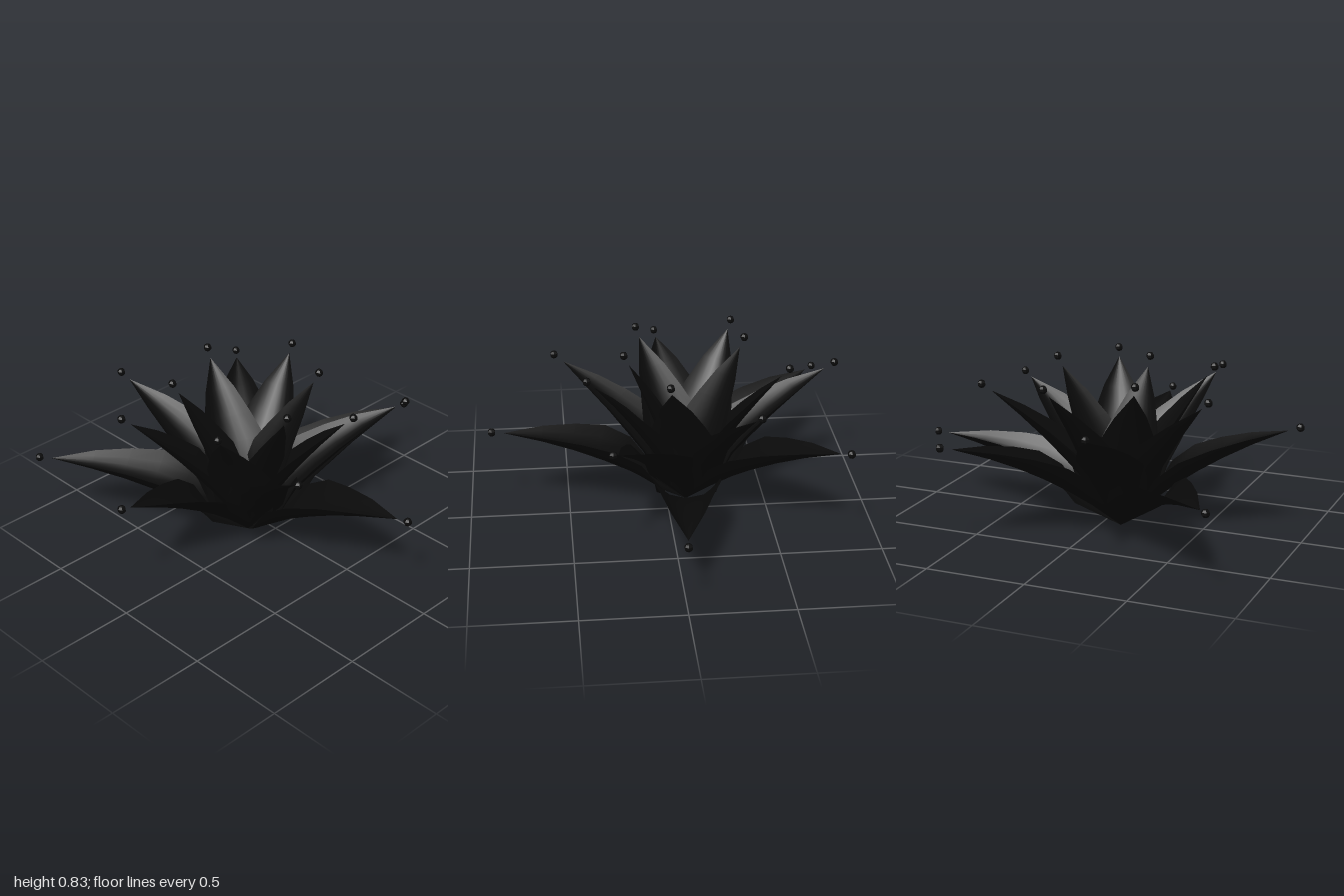
import * as THREE from 'three';

const BASE = new THREE.Vector3(-0.1, 0.005, -0.1);

// Bead above each petal tip, from the outermost petal to the innermost
const BEADS = [
  [0.975, 0.345, 0], [-0.81, 0.41, -0.865], [-0.005, 0.475, 0.875], [0.51, 0.535, -0.82],
  [-0.98, 0.585, -0.01], [0.615, 0.635, 0.31], [-0.25, 0.675, -0.875], [-0.4, 0.71, 0.55],
  [0.51, 0.74, -0.39], [-0.65, 0.765, -0.39], [0.12, 0.785, 0.405], [0.09, 0.8, -0.585],
  [-0.5, 0.805, 0.125], [0.29, 0.81, 0.015], [-0.3, 0.81, -0.415], [-0.13, 0.805, 0.21],
];

// Petal stations: position along the midrib, half width, lift of the edges
const STATIONS = [
  [0, 0, 0], [0.2, 0.15, 0.03], [0.36, 0.165, 0.11], [0.5, 0.165, 0.12],
  [0.65, 0.125, 0.09], [0.81, 0.078, 0.05], [1, 0, 0],
];
const ACROSS = 8;

// Cupped petal that grows along +x and y and arches outward by the bend angle
function petalGeometry(tipR, tipY, bend, cup) {
  const lift = Math.tan(bend) / 2;
  const curve = new THREE.QuadraticBezierCurve(
    new THREE.Vector2(0, 0),
    new THREE.Vector2(tipR / 2 - tipY * lift, tipY / 2 + tipR * lift),
    new THREE.Vector2(tipR, tipY));
  const positions = [], index = [];
  STATIONS.forEach(([t, width, rise], i) => {
    const p = curve.getPoint(t), d = curve.getTangent(t);
    for (let j = 0; j <= ACROSS; j++) {
      const s = (2 * j) / ACROSS - 1;
      const h = rise * cup * s * s;
      positions.push(p.x - d.y * h, p.y + d.x * h, width * s);
      if (i < STATIONS.length - 1 && j < ACROSS) {
        const k = i * (ACROSS + 1) + j, n = k + ACROSS + 1;
        index.push(k, k + 1, n, k + 1, n + 1, n);
      }
    }
  });
  const g = new THREE.BufferGeometry();
  g.setAttribute('position', new THREE.Float32BufferAttribute(positions, 3));
  g.setIndex(index);
  g.computeVertexNormals();
  return g;
}

export function createModel() {
  const model = new THREE.Group();
  model.name = 'flower';
  const petalMat = new THREE.MeshStandardMaterial({ color: 0x0a0a0a, side: THREE.DoubleSide });
  const beadMat = new THREE.MeshStandardMaterial({ color: 0x0a0a0a, flatShading: true });
  const beadGeo = new THREE.SphereGeometry(0.021, 6, 5);

  // Spiral of petals, each with a bead beyond its tip; inner ones are straighter and flatter
  BEADS.forEach((b, i) => {
    const bead = new THREE.Mesh(beadGeo, beadMat);
    bead.name = 'bead';
    bead.position.set(...b);

    const inner = i / (BEADS.length - 1);
    const x = b[0] - BASE.x, z = b[2] - BASE.z;
    const r = Math.hypot(x, z);
    const bend = THREE.MathUtils.degToRad(13 - 10 * inner);
    const end = Math.atan2(b[1], r) - bend;
    const petal = new THREE.Mesh(petalGeometry(
      r - 0.06 * Math.cos(end), b[1] - 0.06 * Math.sin(end), bend, 1 - 0.6 * inner), petalMat);
    petal.name = 'petal';
    petal.position.copy(BASE);
    petal.rotation.y = -Math.atan2(z, x);
    model.add(petal, bead);
  });

  return model;
}
